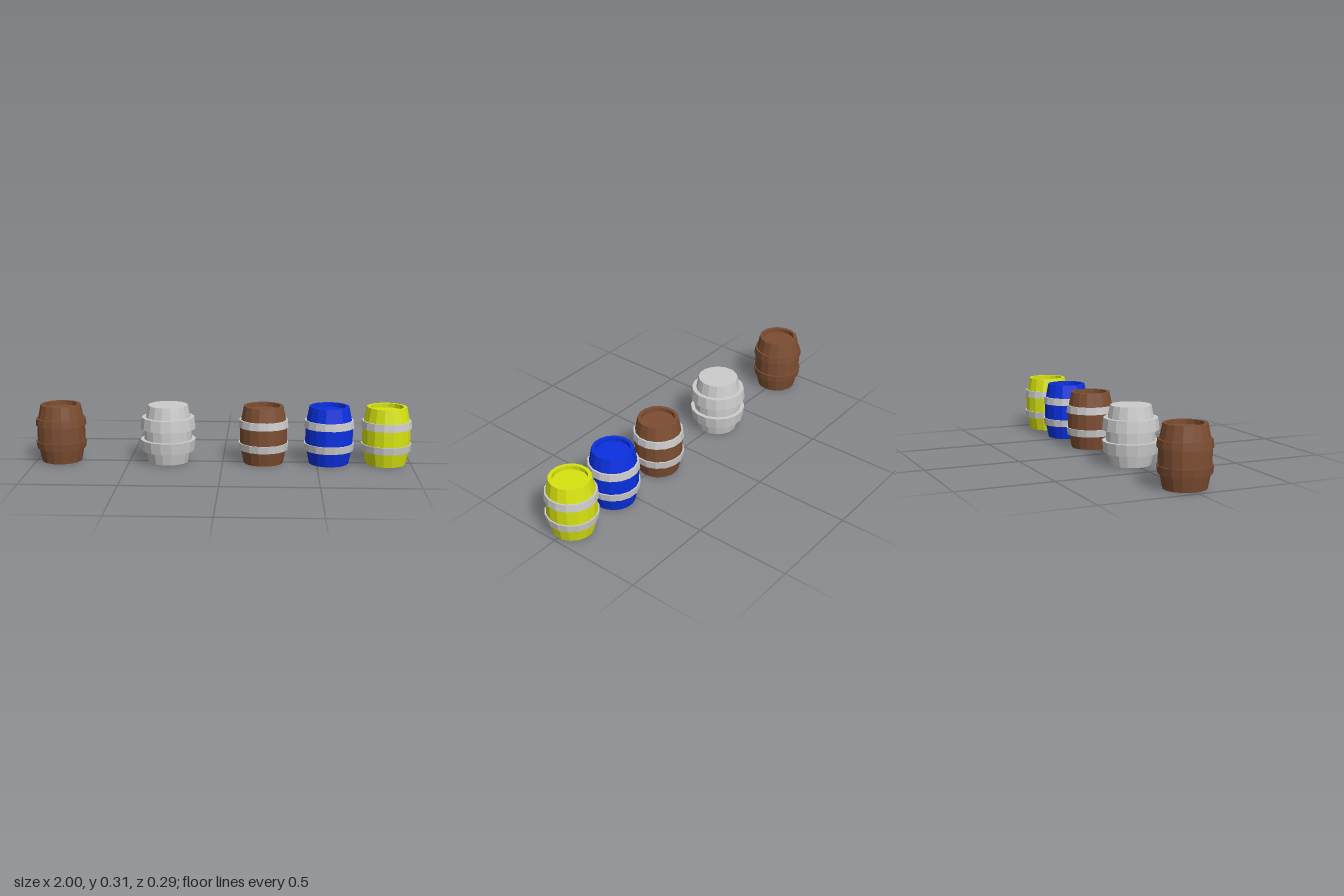
import * as THREE from 'three';

const SIDES = 16;
const HEIGHT = 0.308;

// Faceted surface of revolution, profile given as [radius, y] from bottom to top
function lathe(profile, material, name) {
  const points = profile.map(([r, y]) => new THREE.Vector2(r, y));
  const mesh = new THREE.Mesh(new THREE.LatheGeometry(points, SIDES, Math.PI / SIDES), material);
  mesh.name = name;
  return mesh;
}

function makeMaterial(color) {
  return new THREE.MeshStandardMaterial({ color, flatShading: true });
}

// Staves with a straight belly; ends are recessed lids or plain flat caps
function makeBody(material, recessed) {
  const end = 0.106, belly = 0.127, inner = 0.088, depth = 0.022;
  const side = [[end, 0], [belly, 0.103], [belly, HEIGHT - 0.103], [end, HEIGHT]];
  const bottom = recessed ? [[0, depth], [inner, depth], [inner, 0]] : [[0, 0]];
  const top = bottom.map(([r, y]) => [r, HEIGHT - y]).reverse();
  return lathe([...bottom, ...side, ...top], material, 'barrelBody');
}

// Hoop ring, wider towards the belly; the upper one mirrors the lower
function makeHoop(material, hoop, upper) {
  const { y0, y1, rNarrow, rWide } = hoop;
  const inner = 0.108;
  const ring = upper
    ? [[inner, HEIGHT - y1], [rWide, HEIGHT - y1], [rNarrow, HEIGHT - y0], [inner, HEIGHT - y0], [inner, HEIGHT - y1]]
    : [[inner, y0], [rNarrow, y0], [rWide, y1], [inner, y1], [inner, y0]];
  return lathe(ring, material, upper ? 'upperHoop' : 'lowerHoop');
}

export function createModel() {
  const model = new THREE.Group();
  model.name = 'barrelRow';

  const grey = makeMaterial(0xcccccc);
  const brown = makeMaterial(0x7d4e32);
  const blue = makeMaterial(0x0a30e0);
  const yellow = makeMaterial(0xd8e410);

  const slimHoop = { y0: 0.073, y1: 0.112, rNarrow: 0.13, rWide: 0.1345 };
  const wideHoop = { y0: 0.064, y1: 0.125, rNarrow: 0.141, rWide: 0.148 };

  const barrels = [
    { name: 'woodBarrel', x: -0.868, body: brown, hoops: brown, hoop: slimHoop, recessed: true },
    { name: 'plainBarrel', x: -0.292, body: grey, hoops: grey, hoop: wideHoop, recessed: false },
    { name: 'hoopedWoodBarrel', x: 0.217, body: brown, hoops: grey, hoop: slimHoop, recessed: true },
    { name: 'blueBarrel', x: 0.565, body: blue, hoops: grey, hoop: slimHoop, recessed: true },
    { name: 'yellowBarrel', x: 0.868, body: yellow, hoops: grey, hoop: slimHoop, recessed: true },
  ];

  for (const spec of barrels) {
    const barrel = new THREE.Group();
    barrel.name = spec.name;
    barrel.position.x = spec.x;
    barrel.add(
      makeBody(spec.body, spec.recessed),
      makeHoop(spec.hoops, spec.hoop, false),
      makeHoop(spec.hoops, spec.hoop, true),
    );
    model.add(barrel);
  }
  return model;
}
